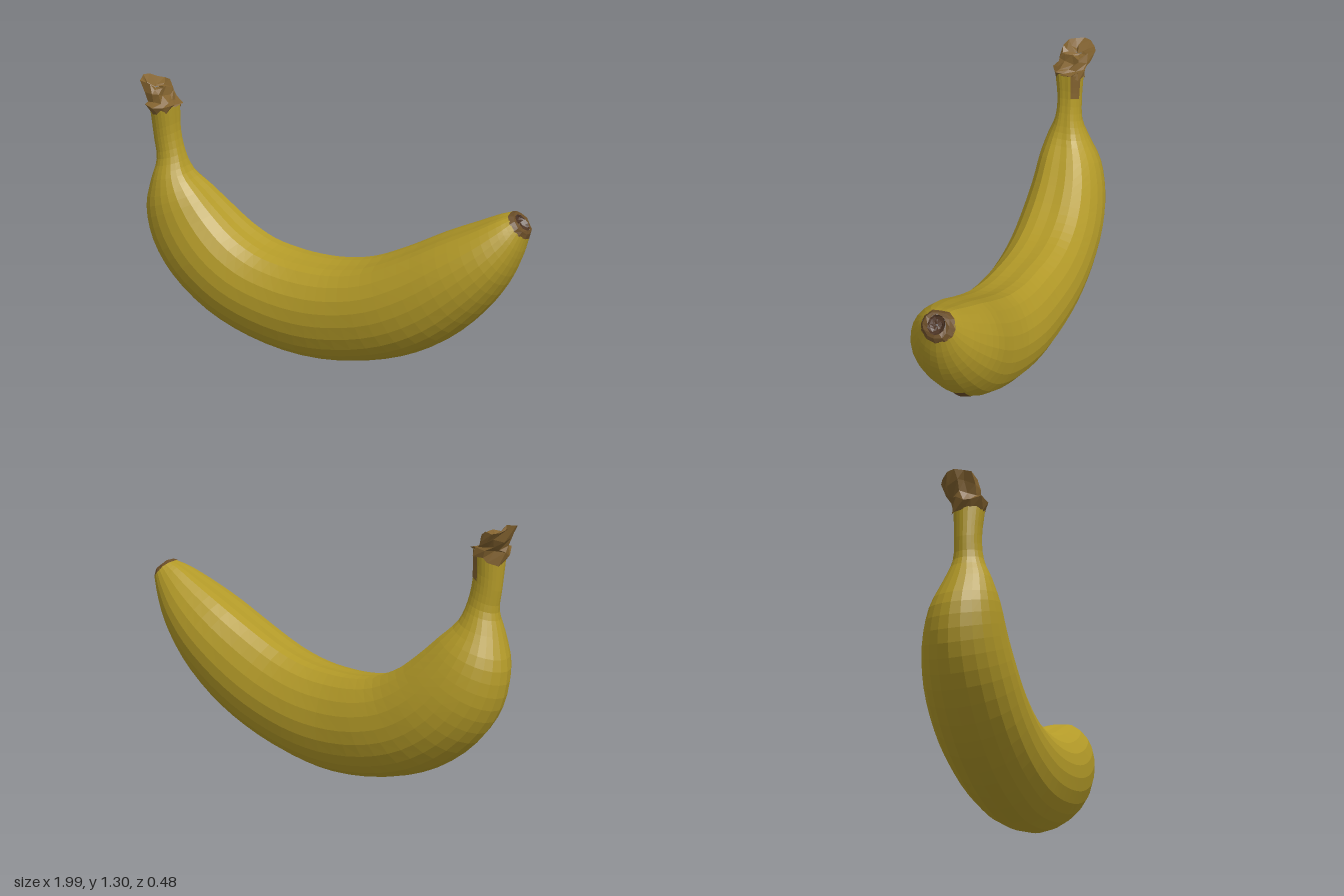
import * as THREE from 'three';

const material = (name, color) => {
  const m = new THREE.MeshStandardMaterial({ color });
  m.name = name;
  return m;
};

// Rounded five-sided cross-section: x runs across (z), y from outer (-1) to inner (+1) side
const section = new THREE.CatmullRomCurve3([
  [-0.08, -1], [0.48, -0.84], [0.85, -0.5], [1, 0], [0.9, 0.5], [0.52, 0.9],
  [0.05, 0.97], [-0.42, 1], [-0.82, 0.62], [-1, 0.1], [-0.92, -0.4], [-0.6, -0.8],
].map(([u, v]) => new THREE.Vector3(u, v, 0)), true);

// Stations: outer x, y, inner x, y, back z, front z
const BODY = [
  [-0.93, 1.14, -0.79, 1.18, -0.055, 0.085],
  [-0.92, 1.0, -0.79, 1.05, -0.05, 0.07],
  [-0.91, 0.9, -0.77, 0.94, -0.06, 0.075],
  [-0.94, 0.8, -0.735, 0.85, -0.1, 0.11],
  [-0.98, 0.65, -0.66, 0.77, -0.165, 0.14],
  [-0.955, 0.47, -0.57, 0.68, -0.21, 0.155],
  [-0.85, 0.3, -0.46, 0.59, -0.235, 0.17],
  [-0.65, 0.14, -0.34, 0.53, -0.24, 0.18],
  [-0.4, 0.04, -0.21, 0.505, -0.235, 0.19],
  [-0.1, 0.0, -0.08, 0.5, -0.22, 0.205],
  [0.15, 0.03, 0.06, 0.51, -0.21, 0.22],
  [0.42, 0.115, 0.22, 0.55, -0.195, 0.235],
  [0.63, 0.235, 0.4, 0.635, -0.19, 0.235],
  [0.8, 0.4, 0.58, 0.735, -0.185, 0.215],
  [0.91, 0.56, 0.74, 0.815, -0.15, 0.17],
  [0.965, 0.69, 0.85, 0.87, -0.11, 0.11],
  [0.99, 0.79, 0.905, 0.89, -0.085, 0.065],
];

// Torn stem end, from its sunken middle down to the collar
const CROWN = [
  [-0.92, 1.24, -0.9, 1.24, -0.02, 0.0],
  [-0.95, 1.26, -0.88, 1.24, -0.05, 0.04],
  [-0.99, 1.295, -0.845, 1.255, -0.085, 0.07],
  [-0.965, 1.25, -0.835, 1.225, -0.08, 0.07],
  [-0.945, 1.205, -0.815, 1.205, -0.065, 0.075],
  [-0.96, 1.17, -0.785, 1.195, -0.055, 0.095],
  [-0.93, 1.125, -0.787, 1.165, -0.055, 0.09],
];

const RIM = [
  [0.99, 0.785, 0.9, 0.89, -0.087, 0.067],
  [0.997, 0.81, 0.922, 0.893, -0.065, 0.05],
  [0.99, 0.825, 0.93, 0.885, -0.045, 0.03],
];

const SCAR = [
  RIM[2],
  [0.97, 0.825, 0.925, 0.87, -0.03, 0.016],
  [0.946, 0.845, 0.944, 0.847, -0.008, -0.006],
];

// Point on a lofted skin; t counts stations, s goes once round the section
function skin(stations) {
  const curve = (f) => new THREE.CatmullRomCurve3(stations.map(f));
  const outer = curve((p) => new THREE.Vector3(p[0], p[1], p[4]));
  const inner = curve((p) => new THREE.Vector3(p[2], p[3], p[5]));
  return (t, s, lift = 0) => {
    const k = Math.min(1, t / (stations.length - 1));
    const o = outer.getPoint(k), i = inner.getPoint(k);
    const q = section.getPoint((s + 1) % 1);
    const half = i.clone().sub(o).multiplyScalar(0.5);
    const mid = i.clone().add(o).multiplyScalar(0.5);
    const d = new THREE.Vector3(half.x * q.y, half.y * q.y, half.z * q.x);
    return mid.add(d).addScaledVector(d.clone().normalize(), lift);
  };
}

// Faceted grid over part of a skin; rough shifts the points for a torn look
function patch(point, [t0, t1, rows], [s0, s1, sides], lift = 0, rough = 0) {
  const pos = [], index = [];
  const noise = (n) => { const v = Math.sin(n * 12.9898 + 4.1) * 43758.5453; return v - Math.floor(v) - 0.5; };
  for (let r = 0; r <= rows; r++) {
    for (let c = 0; c <= sides; c++) {
      const p = point(t0 + (t1 - t0) * r / rows, s0 + (s1 - s0) * c / sides, lift);
      const n = r * 50 + (c % sides) * 3;
      pos.push(p.x + rough * noise(n), p.y + rough * noise(n + 1), p.z + rough * noise(n + 2));
      if (r < rows && c < sides) {
        const a = r * (sides + 1) + c, b = a + 1, d = a + sides + 1;
        index.push(a, d, b, b, d, d + 1);
      }
    }
  }
  const g = new THREE.BufferGeometry();
  g.setAttribute('position', new THREE.Float32BufferAttribute(pos, 3));
  g.setIndex(index);
  const flat = g.toNonIndexed();
  flat.computeVertexNormals();
  return flat;
}

export function createModel() {
  const peelYellow = material('peel yellow', 0xb39a28);
  const stemBrown = material('stem brown', 0x82622f);
  const bruiseBrown = material('bruise brown', 0x6b4e28);
  const scarBrown = material('dark scar brown', 0x4c3323);

  const group = new THREE.Group();
  group.name = 'banana';
  const add = (name, geometry, mat) => {
    const mesh = new THREE.Mesh(geometry, mat);
    mesh.name = name;
    group.add(mesh);
  };

  // Curved fruit with its neck
  const body = skin(BODY);
  add('peel', patch(body, [0, 16, 48], [0, 1, 24]), peelYellow);

  // Stem end
  add('stemCrown', patch(skin(CROWN), [0, 6, 6], [0, 1, 12], 0, 0.026), stemBrown);
  add('stemStain', patch(body, [0, 0.95, 4], [0.58, 0.7, 4], 0.003), stemBrown);

  // Blossom end
  add('blossomRim', patch(skin(RIM), [0, 2, 2], [0, 1, 12], 0.002, 0.006), bruiseBrown);
  add('blossomScar', patch(skin(SCAR), [0, 2, 3], [0, 1, 12], 0.002, 0.006), scarBrown);

  // Small bruise low on the outer ridge
  add('bruise', patch(body, [12.25, 12.75, 4], [-0.035, 0.002, 3], 0.004), bruiseBrown);

  return group;
}
